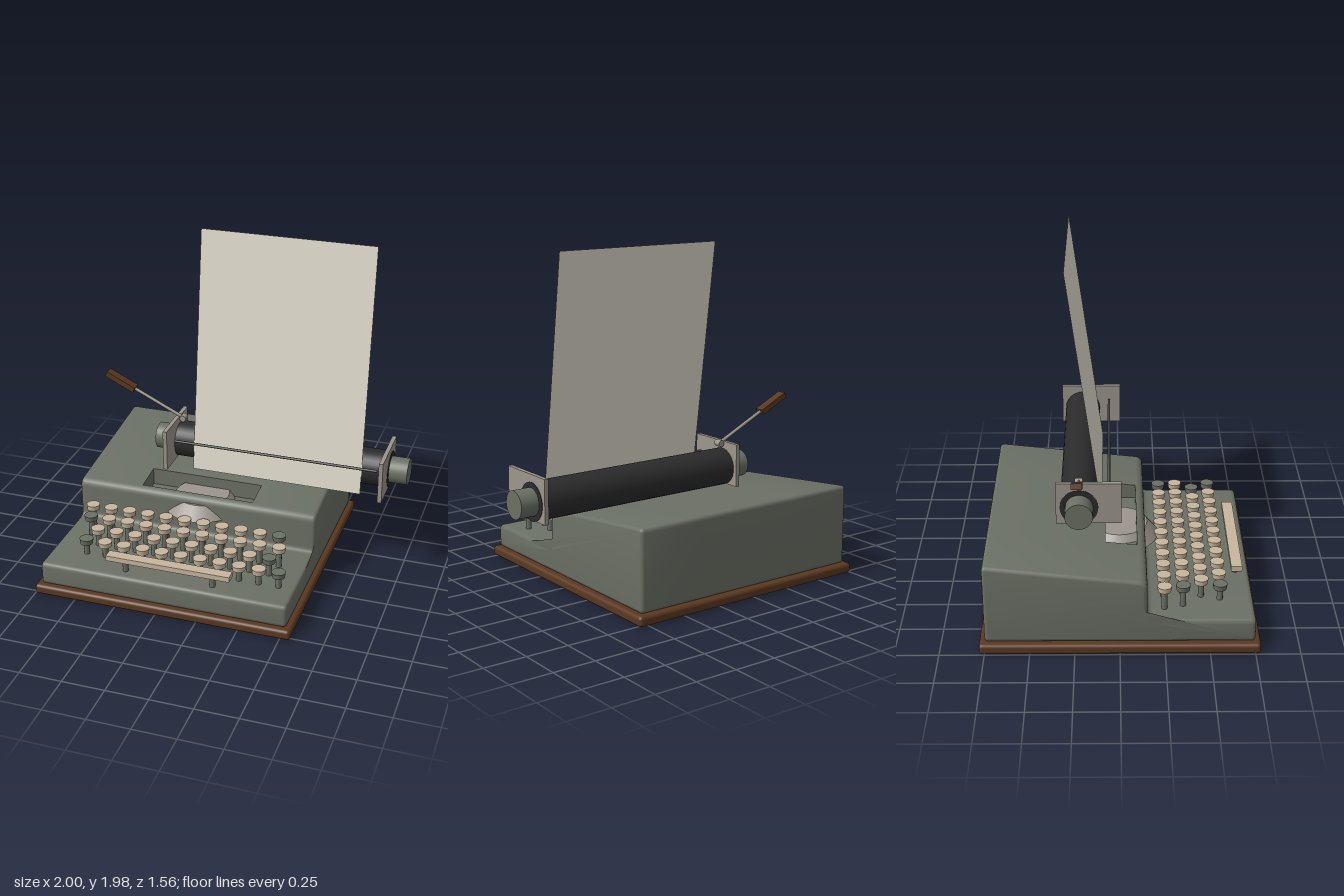
import * as THREE from 'three';
import { toCreasedNormals } from 'three/addons/utils/BufferGeometryUtils.js';
import { RoundedBoxGeometry } from 'three/addons/geometries/RoundedBoxGeometry.js';

const material = (name, color, extra = {}) => {
  const m = new THREE.MeshStandardMaterial({ color, ...extra });
  m.name = name;
  return m;
};

// Height of the sloping top cover at depth z
const coverY = (z) => 0.44 + (0.15 - z) / 9;
const SLOT = { x0: -0.57, x1: 0.13, z0: -0.08, z1: 0.1, floor: 0.36 };

// Closed shape from [x, y, cornerRadius] points
function roundedShape(points) {
  const shape = new THREE.Shape();
  points.forEach(([x, y, r], i) => {
    const p = new THREE.Vector2(x, y);
    const toward = ([nx, ny]) => new THREE.Vector2(nx, ny).sub(p).setLength(r).add(p);
    const a = toward(points.at(i - 1));
    const b = toward(points[(i + 1) % points.length]);
    if (i === 0) shape.moveTo(a.x, a.y);
    else shape.lineTo(a.x, a.y);
    if (r > 0) shape.quadraticCurveTo(x, y, b.x, b.y);
  });
  shape.closePath();
  return shape;
}

// Side profile swept across the width, with an opening cut in the top cover
function bodyGeometry() {
  const bevel = 0.02, right = 0.53, depth = 1.455;
  const shape = roundedShape([
    [0.75, 0.06, 0.025], [0.75, 0.2, 0.03], [0.15, 0.2, 0.035], [0.15, 0.44, 0.045],
    [SLOT.z1, coverY(SLOT.z1), 0], [SLOT.z0, coverY(SLOT.z0), 0],
    [-0.75, 0.54, 0.03], [-0.75, 0.06, 0.025],
  ]);
  const geo = new THREE.ExtrudeGeometry(shape, {
    depth, steps: 3, curveSegments: 6,
    bevelSize: bevel, bevelThickness: bevel, bevelOffset: -bevel, bevelSegments: 3,
  });
  geo.rotateY(-Math.PI / 2).translate(right - bevel, 0, 0);

  // Slide the inner sweep stations to the ends of the opening, then drop its faces
  const pos = geo.attributes.position;
  const near = (a, b) => Math.abs(a - b) < 0.002;
  const first = right - bevel - depth / 3, second = first - depth / 3;
  for (let i = 0; i < pos.count; i++) {
    if (near(pos.getX(i), first)) pos.setX(i, SLOT.x1);
    else if (near(pos.getX(i), second)) pos.setX(i, SLOT.x0);
  }
  const e = 0.001;
  const inSlot = (i) => pos.getY(i) > 0.4 &&
    pos.getX(i) > SLOT.x0 - e && pos.getX(i) < SLOT.x1 + e &&
    pos.getZ(i) > SLOT.z0 - e && pos.getZ(i) < SLOT.z1 + e;
  const kept = [];
  for (let i = 0; i < pos.count; i += 3) {
    if (inSlot(i) && inSlot(i + 1) && inSlot(i + 2)) continue;
    for (let j = i; j < i + 3; j++) kept.push(pos.getX(j), pos.getY(j), pos.getZ(j));
  }
  const out = new THREE.BufferGeometry();
  out.setAttribute('position', new THREE.Float32BufferAttribute(kept, 3));
  return toCreasedNormals(out, 0.6);
}

// Inward-facing box whose rim follows the sloping cover
function slotGeometry() {
  const { x0, x1, z0, z1, floor } = SLOT;
  const geo = new THREE.BoxGeometry(x1 - x0, 0.1, z1 - z0);
  geo.scale(-1, 1, 1).translate((x0 + x1) / 2, 0, (z0 + z1) / 2);
  const pos = geo.attributes.position;
  for (let i = 0; i < pos.count; i++) {
    pos.setY(i, pos.getY(i) > 0 ? coverY(pos.getZ(i)) : floor);
  }
  geo.computeVertexNormals();
  return geo;
}

export function createModel() {
  const model = new THREE.Group();
  model.name = 'typewriter';

  const paint = material('green grey paint', 0x6b7065);
  const wood = material('brown wood', 0x5a3820);
  const rubber = material('black rubber', 0x2b2b2c);
  const metal = material('pale metal', 0x9b958c);
  const steel = material('dark steel', 0x4c4c4a);
  const ivory = material('ivory keys', 0xc8b69e);
  const paperMat = material('paper', 0xe0dccd, { side: THREE.DoubleSide });

  const add = (name, geo, mat, x = 0, y = 0, z = 0, parent = model) => {
    const mesh = new THREE.Mesh(geo, mat);
    mesh.name = name;
    mesh.position.set(x, y, z);
    parent.add(mesh);
    return mesh;
  };
  const box = (w, h, d) => new THREE.BoxGeometry(w, h, d);
  const rodX = (r, length, sides = 32) =>
    new THREE.CylinderGeometry(r, r, length, sides).rotateZ(Math.PI / 2);

  // Base and housing
  add('base', new RoundedBoxGeometry(1.56, 0.06, 1.56, 3, 0.02), wood, -0.22, 0.03, 0);
  add('body', bodyGeometry(), paint);
  add('typeSlot', slotGeometry(), paint);
  add('typeBasket', new THREE.CylinderGeometry(0.165, 0.23, 0.08, 24), metal, -0.22, 0.36, 0);

  // Keyboard: rows of [first x, count, z, cap top, dark key positions]
  const keyboard = new THREE.Group();
  keyboard.name = 'keyboard';
  model.add(keyboard);
  const pitch = 0.118, capHeight = 0.032;
  const capGeo = new THREE.CylinderGeometry(0.041, 0.037, capHeight, 20);
  const stem = (x, z, top) => add('keyStem',
    new THREE.CylinderGeometry(0.017, 0.017, top - 0.19, 10), paint, x, (top + 0.19) / 2, z, keyboard);
  const rows = [
    [-0.84, 11, 0.247, 0.345, [10]],
    [-0.81, 11, 0.352, 0.333, [0]],
    [-0.72, 10, 0.457, 0.318, [9]],
    [-0.75, 11, 0.562, 0.302, [0, 10]],
  ];
  for (const [x0, count, z, top, dark] of rows) {
    for (let i = 0; i < count; i++) {
      const x = x0 + i * pitch;
      add('keyCap', capGeo, dark.includes(i) ? paint : ivory, x, top - capHeight / 2, z, keyboard);
      stem(x, z, top - capHeight);
    }
  }
  add('spaceBar', box(0.75, 0.032, 0.064), ivory, -0.195, 0.281, 0.67, keyboard);
  for (const x of [-0.46, 0.07]) stem(x, 0.67, 0.27);

  // Carriage, built around the platen axis
  const carriage = new THREE.Group();
  carriage.name = 'carriage';
  carriage.position.set(0.21, 0.63, -0.23);
  model.add(carriage);
  add('platen', rodX(0.11, 1.36), rubber, 0, 0, 0, carriage);
  for (const side of [-1, 1]) {
    add('endPlate', box(0.025, 0.255, 0.375), metal, side * 0.665, 0.025, 0.055, carriage);
    add('platenKnob', rodX(0.08, 0.12), paint, side * 0.73, 0, 0, carriage);
  }
  add('paperBail', rodX(0.008, 1.26, 10), steel, 0, 0.062, 0.17, carriage);

  // Paper sheet leaning back over the platen
  const paper = add('paper', new THREE.PlaneGeometry(1.05, Math.hypot(1.48, 0.2)), paperMat, 0.21, 1.24, -0.2);
  paper.rotation.x = -Math.atan2(0.2, 1.48);

  // Carriage return lever, laid out along its own length
  const lever = new THREE.Group();
  lever.name = 'returnLever';
  lever.position.set(-0.42, 0.772, -0.23);
  lever.rotation.z = Math.atan2(0.238, -0.497);
  model.add(lever);
  add('leverPivot', new THREE.CylinderGeometry(0.02, 0.02, 0.045, 16).rotateX(Math.PI / 2), metal, 0, 0, 0, lever);
  add('leverArm', rodX(0.01, 0.38, 12), metal, 0.19, 0, 0, lever);
  add('leverGrip', box(0.2, 0.034, 0.058), wood, 0.45, 0, 0, lever);

  return model;
}
